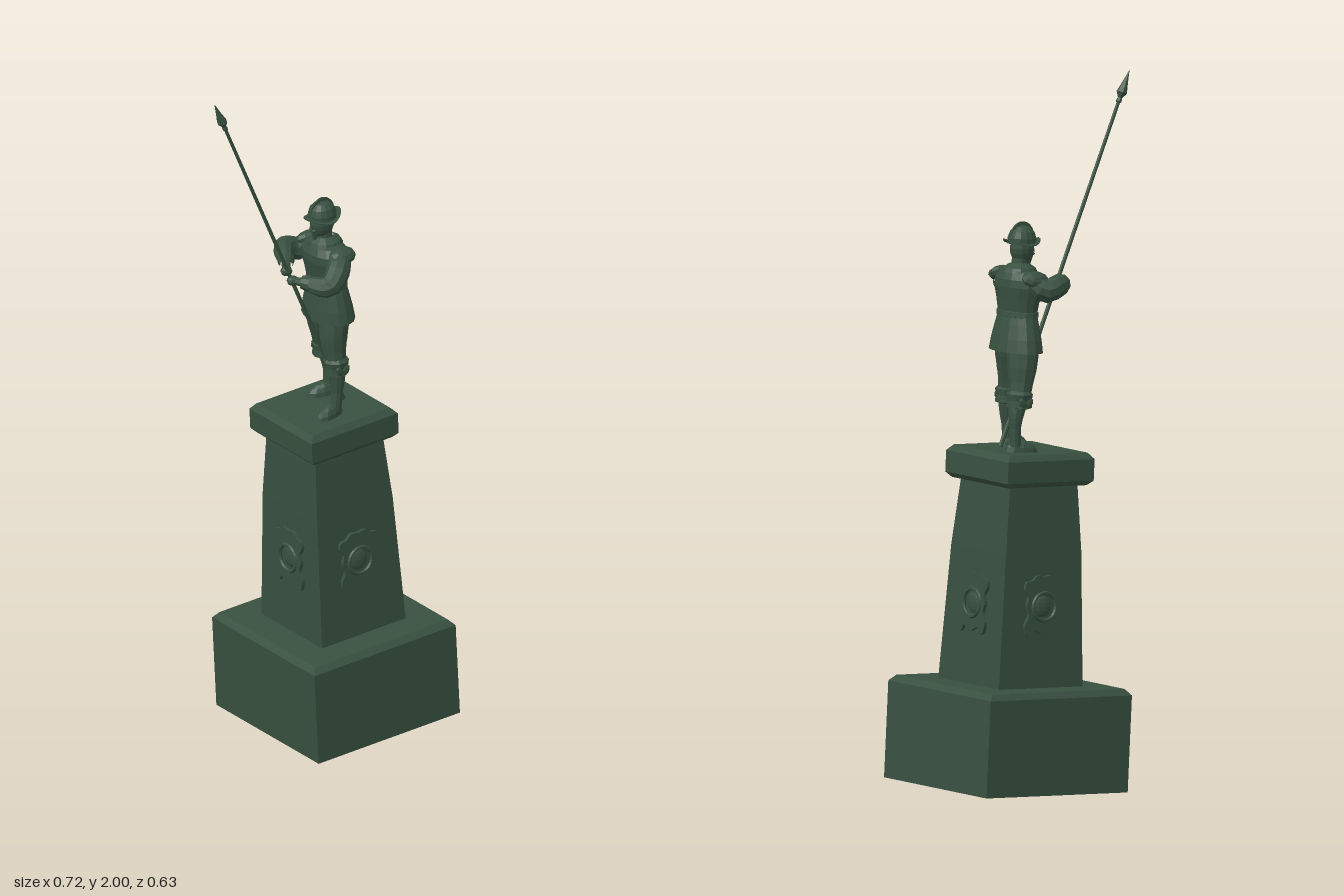
import * as THREE from 'three';

const bronze = new THREE.MeshStandardMaterial({ color: 0x385040 });
bronze.name = 'green patina bronze';
const V = (x, y, z) => new THREE.Vector3(x, y, z);

// Faceted copy of a geometry
function facet(geo) {
  const g = geo.index ? geo.toNonIndexed() : geo;
  g.computeVertexNormals();
  return g;
}

function add(parent, name, geo, x = 0, y = 0, z = 0, smooth = false) {
  const mesh = new THREE.Mesh(smooth ? geo : facet(geo), bronze);
  mesh.name = name;
  mesh.position.set(x, y, z);
  parent.add(mesh);
  return mesh;
}

// Square block from [half width, height] pairs, bottom to top
function squareBlock(profile) {
  const pts = profile.map(([h, y]) => new THREE.Vector2(h * Math.SQRT2, y));
  return new THREE.LatheGeometry(pts, 4, Math.PI / 4);
}

function lathe(profile, sides = 14) {
  return new THREE.LatheGeometry(profile.map(([r, y]) => new THREE.Vector2(r, y)), sides);
}

// Tube through points whose radius runs through a list of values
function limb(points, radii, sides = 10, steps = 12) {
  const curve = new THREE.CatmullRomCurve3(points);
  const geo = new THREE.TubeGeometry(curve, steps, 1, sides);
  const pos = geo.attributes.position, p = V(0, 0, 0);
  for (let i = 0; i < pos.count; i++) {
    const t = Math.floor(i / (sides + 1)) / steps;
    const f = t * (radii.length - 1), k = Math.min(Math.floor(f), radii.length - 2);
    const r = THREE.MathUtils.lerp(radii[k], radii[k + 1], f - k);
    const c = curve.getPointAt(t);
    p.fromBufferAttribute(pos, i).sub(c).multiplyScalar(r).add(c);
    pos.setXYZ(i, p.x, p.y, p.z);
  }
  return geo;
}

function ball(rx, ry, rz, w = 10, h = 8) {
  return new THREE.SphereGeometry(1, w, h).scale(rx, ry, rz);
}

// Scrolled relief with a round medallion
function makeEmblem() {
  const g = new THREE.Group();
  g.name = 'emblem';
  const half = [[0, 0.085], [0.025, 0.088], [0.042, 0.074], [0.062, 0.07], [0.066, 0.048],
    [0.054, 0.03], [0.06, 0.004], [0.053, -0.025], [0.066, -0.05], [0.06, -0.078],
    [0.043, -0.084], [0.033, -0.066], [0.018, -0.072]];
  const outline = [...half, [0, -0.08], ...half.slice(1).reverse().map(([x, y]) => [-x, y])];
  const curve = new THREE.SplineCurve([...outline, outline[0]].map(([x, y]) => new THREE.Vector2(x, y)));
  const shape = new THREE.Shape(curve.getPoints(72));
  const hole = new THREE.Path();
  hole.absarc(0, 0, 0.036, 0, Math.PI * 2, true);
  shape.holes.push(hole);
  add(g, 'scrollwork', new THREE.ExtrudeGeometry(shape, { depth: 0.016, bevelEnabled: false, curveSegments: 20 }), 0, 0, -0.006);
  add(g, 'medallionRim', new THREE.TorusGeometry(0.039, 0.006, 6, 24), 0, 0, 0.01);
  add(g, 'medallionBoss', ball(0.03, 0.03, 0.009, 14, 8));
  return g;
}

function makePedestal() {
  const g = new THREE.Group();
  g.name = 'pedestal';
  add(g, 'base', squareBlock([[0, 0], [0.2445, 0], [0.2445, 0.274], [0.229, 0.291], [0, 0.291]]));
  add(g, 'pillar', squareBlock([[0.145, 0.285], [0.1305, 0.67], [0.116, 0.87]]));
  add(g, 'cap', squareBlock([[0, 0.858], [0.135, 0.858], [0.149, 0.872], [0.149, 0.933], [0.134, 0.95], [0, 0.95]]));
  for (let i = 0; i < 4; i++) {
    const side = new THREE.Group();
    side.name = 'emblemSide';
    side.rotation.y = i * Math.PI / 2;
    const emblem = makeEmblem();
    emblem.position.set(0, 0.52, 0.136);
    emblem.rotation.x = -0.038;
    side.add(emblem);
    g.add(side);
  }
  return g;
}

function makeLeg(g, s, stride) {
  const x = s * 0.063;
  // Shoe with a flat sole
  const shoe = ball(0.024, 0.036, 0.05, 10, 8);
  const p = shoe.attributes.position;
  for (let i = 0; i < p.count; i++) {
    const z = p.getZ(i);
    p.setY(i, Math.max(0, p.getY(i)) * (z > 0 ? 1 - z * 6 : 1));
  }
  add(g, 'shoe', shoe, x, 0, stride + 0.022).rotation.y = s * 0.25;
  add(g, 'stocking', limb([V(x, 0.015, stride), V(x, 0.09, stride * 0.9 - 0.006), V(s * 0.057, 0.17, stride * 0.6)],
    [0.017, 0.017, 0.025, 0.024]));
  add(g, 'breeches', limb([V(s * 0.036, 0.31, 0), V(s * 0.046, 0.23, stride * 0.4 + 0.004), V(s * 0.058, 0.15, stride * 0.65)],
    [0.042, 0.044, 0.041, 0.034, 0.03]));
  add(g, 'kneeCuff', lathe([[0.02, 0.12], [0.036, 0.125], [0.034, 0.145], [0.037, 0.163], [0.028, 0.172]], 10),
    s * 0.058, 0, stride * 0.65);
  for (const k of [-1, 1])
    add(g, 'gartersBow', ball(0.006, 0.016, 0.011, 6, 5), s * 0.09, 0.14, stride * 0.65 + k * 0.011).rotation.x = k * 0.6;
}

function makeArm(g, s, elbow, hand) {
  const wrist = elbow.clone().lerp(hand, 0.75);
  add(g, 'sleeve', limb([V(s * 0.07, 0.478, 0), V(s * 0.095, 0.455, 0.025), elbow, wrist],
    [0.032, 0.034, 0.032, 0.026, 0.017]));
  add(g, 'cuff', limb([elbow.clone().lerp(hand, 0.52), wrist], [0.025, 0.019], 10, 3));
  add(g, 'forearm', limb([elbow, hand], [0.014, 0.012], 8, 3));
  add(g, 'hand', ball(0.016, 0.014, 0.018, 8, 6), hand.x, hand.y, hand.z);
  add(g, 'shoulderWing', ball(0.03, 0.02, 0.043, 10, 6), s * 0.08, 0.488, -0.002).rotation.z = -s * 0.55;
}

function makeHead(g) {
  add(g, 'neck', new THREE.CylinderGeometry(0.021, 0.026, 0.05, 10), 0, 0.523, 0);
  add(g, 'collar', lathe([[0.024, 0.498], [0.052, 0.5], [0.046, 0.513], [0.026, 0.526]], 12));
  add(g, 'head', ball(0.031, 0.043, 0.036, 12, 10), 0, 0.567, 0.006);
  add(g, 'nose', new THREE.ConeGeometry(0.007, 0.02, 5), 0, 0.566, 0.044);
  add(g, 'beard', new THREE.ConeGeometry(0.018, 0.035, 7).rotateX(Math.PI - 0.25), 0, 0.532, 0.031);
  add(g, 'moustache', ball(0.016, 0.005, 0.007, 8, 5), 0, 0.551, 0.039);
  add(g, 'helmetDome', lathe([[0.039, 0.58], [0.039, 0.596], [0.033, 0.614], [0.02, 0.627], [0, 0.633]], 14).scale(1, 1, 1.08), 0, 0, 0.004);
  // Brim swept up into points at front and back
  const brim = lathe([[0.034, 0.002], [0.034, -0.002], [0.05, -0.005], [0.05, -0.002], [0.034, 0.002]], 20);
  const p = brim.attributes.position;
  for (let i = 0; i < p.count; i++) {
    const x = p.getX(i), z = p.getZ(i);
    p.setXYZ(i, x * (1 - Math.abs(z) * 5), p.getY(i) + 6.5 * z * z - 0.002, z * 1.18);
  }
  add(g, 'helmetBrim', brim, 0, 0.583, 0.004);
  const comb = new THREE.Shape();
  comb.absellipse(0, 0, 0.041, 0.047, 0, Math.PI);
  add(g, 'helmetComb', new THREE.ExtrudeGeometry(comb, { depth: 0.005, bevelEnabled: false, curveSegments: 14 })
    .translate(0, 0, -0.0025).rotateY(Math.PI / 2), 0, 0.595, 0.004);
}

// Pike in the middle plane, running down between the legs
function makePike() {
  const g = new THREE.Group();
  g.name = 'pike';
  const foot = V(0.012, 0.006, -0.03), tip = V(0.012, 1.057, 0.361);
  const length = foot.distanceTo(tip);
  add(g, 'pikeShaft', new THREE.CylinderGeometry(0.005, 0.0065, length - 0.06, 8), 0, (length - 0.06) / 2, 0);
  const head = [[0.006, 0], [0.01, 0.006], [0.007, 0.016], [0.018, 0.032], [0.01, 0.06], [0, 0.1]];
  add(g, 'pikeHead', lathe(head, 6).scale(1, 1, 0.8), 0, length - 0.1, 0);
  g.position.copy(foot);
  g.quaternion.setFromUnitVectors(V(0, 1, 0), tip.sub(foot).normalize());
  return g;
}

function makeSoldier() {
  const g = new THREE.Group();
  g.name = 'soldier';
  makeLeg(g, 1, 0.034);
  makeLeg(g, -1, -0.034);
  // Flared coat, closed under the hem
  add(g, 'coat', lathe([[0, 0.3], [0.088, 0.278], [0.096, 0.278], [0.089, 0.315], [0.078, 0.355], [0.069, 0.385],
    [0.077, 0.425], [0.086, 0.46], [0.084, 0.482], [0.066, 0.502], [0.03, 0.512], [0, 0.512]], 16).scale(1, 1, 0.66));
  add(g, 'belt', lathe([[0.066, 0.375], [0.074, 0.377], [0.073, 0.391], [0.066, 0.394]], 16).scale(1, 1, 0.67));
  add(g, 'coatPlacket', limb([V(0, 0.285, 0.06), V(0, 0.385, 0.044), V(0, 0.46, 0.055)], [0.004, 0.004], 5, 8));
  makeArm(g, 1, V(0.1, 0.42, 0.062), V(0.018, 0.43, 0.128));
  makeArm(g, -1, V(-0.097, 0.472, 0.068), V(0.004, 0.458, 0.138));
  makeHead(g);
  g.add(makePike());
  return g;
}

export function createModel() {
  const model = new THREE.Group();
  model.name = 'pikemanMonument';
  // The whole monument is turned and leans slightly
  const monument = new THREE.Group();
  monument.name = 'monument';
  monument.position.set(0.047, 0.0135, -0.003);
  monument.rotation.set(0, 0.344, 0.054);
  monument.add(makePedestal());
  const soldier = makeSoldier();
  soldier.position.set(0.032, 0.95, 0);
  soldier.rotation.y = -Math.PI / 2;
  monument.add(soldier);
  model.add(monument);
  return model;
}
